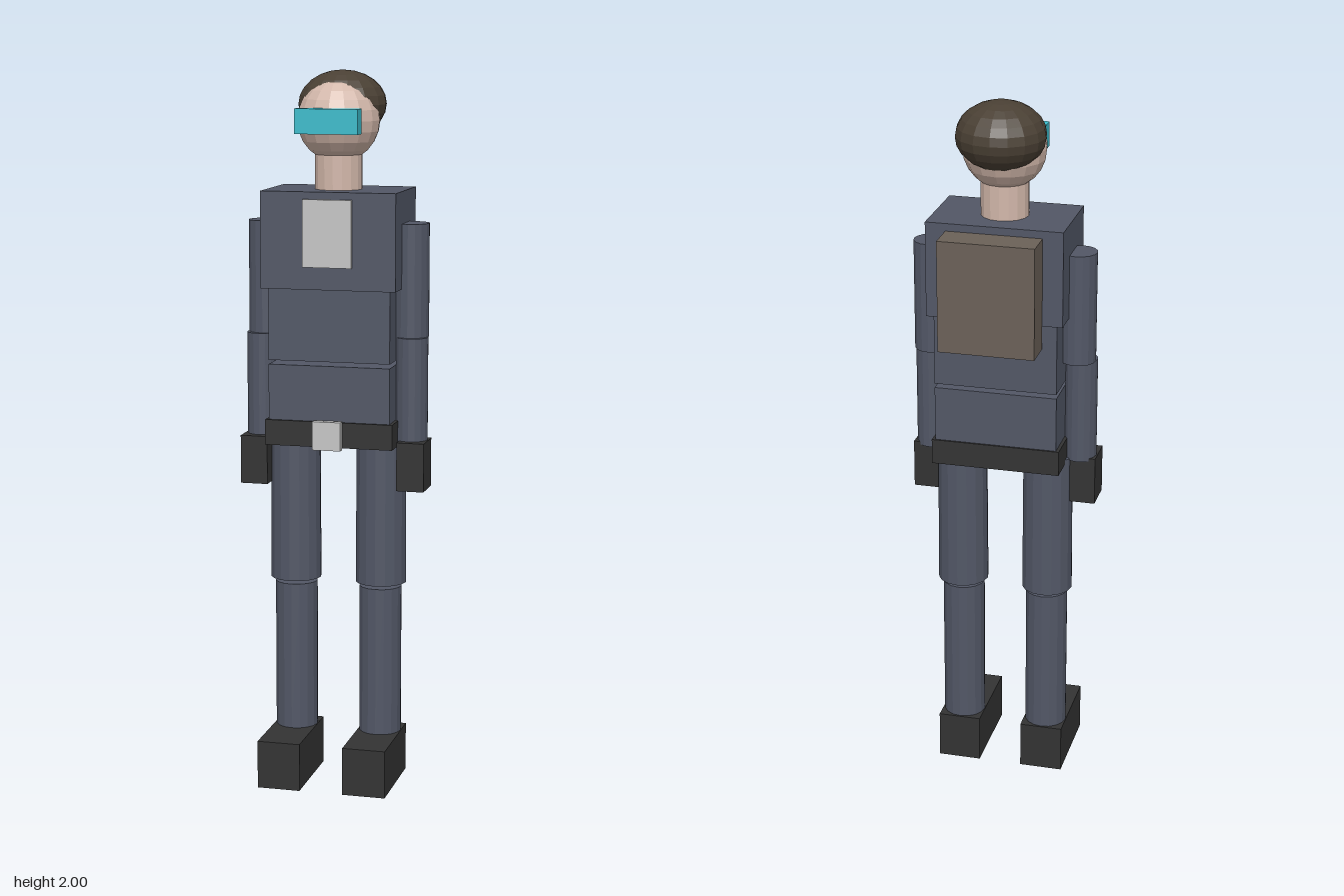
import * as THREE from 'three';

const mat = (name, color) => {
  const m = new THREE.MeshStandardMaterial({ color, flatShading: true });
  m.name = name;
  return m;
};

export function createModel() {
  const model = new THREE.Group();
  model.name = 'figure';

  const suit = mat('slate suit', 0x525766);
  const dark = mat('charcoal', 0x333333);
  const skin = mat('skin', 0xd2b7aa);
  const hairBrown = mat('hair brown', 0x4a4034);
  const packBrown = mat('pack brown', 0x6b6158);
  const cyan = mat('visor cyan', 0x3bbccc);
  const grey = mat('light grey', 0xc6c6c6);

  const add = (name, geometry, material, x = 0, y = 0, z = 0) => {
    const mesh = new THREE.Mesh(geometry, material);
    mesh.name = name;
    mesh.position.set(x, y, z);
    model.add(mesh);
    return mesh;
  };
  // Box given by its centre x, width, and y and z ranges
  const box = (name, material, x, w, y0, y1, z0, z1) =>
    add(name, new THREE.BoxGeometry(w, y1 - y0, z1 - z0), material, x, (y0 + y1) / 2, (z0 + z1) / 2);
  // Upright cylinder given by its y range and end radii
  const tube = (name, material, x, z, y0, y1, rTop, rBottom = rTop) =>
    add(name, new THREE.CylinderGeometry(rTop, rBottom, y1 - y0, 16), material, x, (y0 + y1) / 2, z);

  // Head
  add('head', new THREE.SphereGeometry(0.115, 16, 12), skin, 0, 1.865, 0.003);
  add('hair', new THREE.SphereGeometry(0.123, 16, 12), hairBrown, 0, 1.907, -0.04).scale.y = 0.757;
  box('visor', cyan, 0, 0.177, 1.833, 1.901, 0.099, 0.144);
  tube('neck', skin, 0, 0.003, 1.67, 1.79, 0.066);

  // Torso
  box('chest', suit, 0, 0.38, 1.41, 1.677, -0.119, 0.127);
  box('chestPlate', grey, 0, 0.138, 1.472, 1.657, 0.127, 0.136);
  box('abdomen', suit, 0, 0.344, 1.21, 1.41, -0.107, 0.114);
  box('pelvis', suit, 0, 0.344, 0.99, 1.198, -0.107, 0.114);
  box('belt', dark, 0, 0.362, 0.972, 1.043, -0.112, 0.121);
  box('buckle', grey, 0, 0.08, 0.967, 1.047, 0.121, 0.142);
  box('backpack', packBrown, 0, 0.267, 1.344, 1.656, -0.208, -0.119);

  // Limbs, mirrored
  for (const [side, s] of [['left', 1], ['right', -1]]) {
    tube(side + 'UpperArm', suit, s * 0.207, 0.004, 1.275, 1.588, 0.05);
    tube(side + 'Forearm', suit, s * 0.214, 0.021, 0.98, 1.275, 0.045);
    box(side + 'Hand', dark, s * 0.224, 0.077, 0.852, 0.988, -0.012, 0.087);
    tube(side + 'Thigh', suit, s * 0.124, 0.006, 0.573, 0.985, 0.07, 0.072);
    tube(side + 'Shin', suit, s * 0.123, 0.006, 0.13, 0.561, 0.06);
    box(side + 'Boot', dark, s * 0.123, 0.122, 0, 0.136, -0.058, 0.206);
  }
  return model;
}
